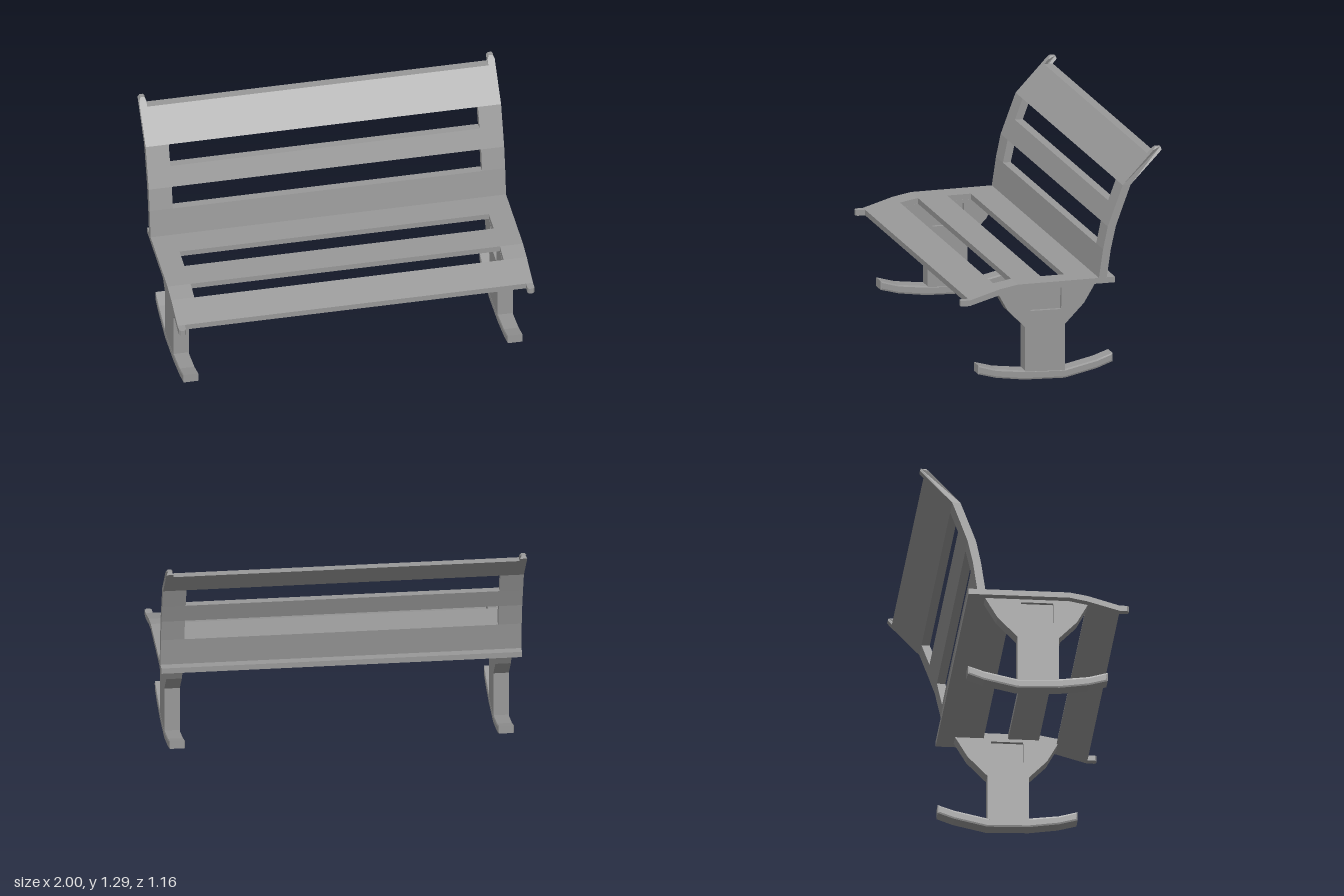
import * as THREE from 'three';

const material = new THREE.MeshStandardMaterial({ color: 0x999999, flatShading: true });

// Extrudes a side outline of [z, y] points across x0..x1, with an optional shallow bevel
function sideExtrude(name, points, x0, x1, { hole, bevel = 0 } = {}) {
  const toVectors = (list) => list.map(([z, y]) => new THREE.Vector2(z, y));
  const shape = new THREE.Shape(toVectors(points));
  if (hole) shape.holes.push(new THREE.Path(toVectors(hole)));
  const geometry = new THREE.ExtrudeGeometry(shape, {
    depth: x1 - x0 - 2 * bevel,
    bevelEnabled: bevel > 0,
    bevelSize: 3 * bevel,
    bevelThickness: bevel,
    bevelOffset: -3 * bevel,
    bevelSegments: 1,
  });
  geometry.rotateY(-Math.PI / 2);
  geometry.translate(x1 - bevel, 0, 0);
  const mesh = new THREE.Mesh(geometry, material);
  mesh.name = name;
  return mesh;
}

// Narrows the end of an edge strip at the given [z, y] points
function narrowTip(mesh, tipPoints, centreX) {
  const position = mesh.geometry.attributes.position;
  for (let i = 0; i < position.count; i++) {
    const atTip = tipPoints.some(([z, y]) => Math.hypot(position.getZ(i) - z, position.getY(i) - y) < 1e-4);
    if (atTip) position.setX(i, centreX + (position.getX(i) - centreX) * 0.55);
  }
  mesh.geometry.computeVertexNormals();
}

// Slatted panel: stations are pairs of [z, y] points, one on each face.
// Slats and stiles run between station indices; the outer edges continue into the tips.
function slattedPanel(name, stations, slats) {
  const group = new THREE.Group();
  group.name = name;
  const section = (a, b) => {
    const part = stations.slice(a, b + 1);
    return [...part.map((s) => s[0]), ...part.map((s) => s[1]).reverse()];
  };
  const last = stations.length - 1;
  for (const [a, b] of slats) group.add(sideExtrude('slat', section(a, b), -0.87, 0.87));
  for (const side of [-1, 1]) {
    const span = (p, q) => (side > 0 ? [p, q] : [-q, -p]);
    group.add(sideExtrude('stile', section(0, last - 2), ...span(0.87, 0.96)));
    const edge = sideExtrude('edgeWithTip', section(0, last), ...span(0.96, 1));
    narrowTip(edge, stations[last], side * 0.98);
    group.add(edge);
  }
  return group;
}

export function createModel() {
  const model = new THREE.Group();
  model.name = 'rockingBench';

  // Seat: top and bottom points from back to front
  const seat = [
    [[-0.31, 0.568], [-0.31, 0.536]],
    [[-0.056, 0.568], [-0.056, 0.536]],
    [[0.08, 0.568], [0.08, 0.536]],
    [[0.25, 0.568], [0.25, 0.536]],
    [[0.353, 0.55], [0.348, 0.518]],
    [[0.527, 0.5], [0.527, 0.468]],
    [[0.568, 0.5], [0.568, 0.468]],
    [[0.579, 0.5], [0.579, 0.468]],
  ];
  model.add(slattedPanel('seat', seat, [[0, 1], [2, 3], [4, 5]]));

  // Backrest: front and rear points from bottom to top
  const back = [
    [[-0.217, 0.568], [-0.262, 0.568]],
    [[-0.241, 0.73], [-0.286, 0.73]],
    [[-0.268, 0.858], [-0.315, 0.858]],
    [[-0.31, 0.97], [-0.356, 0.97]],
    [[-0.354, 1.087], [-0.4, 1.087]],
    [[-0.507, 1.248], [-0.556, 1.248]],
    [[-0.53, 1.273], [-0.579, 1.273]],
    [[-0.544, 1.29], [-0.574, 1.29]],
  ];
  model.add(slattedPanel('backrest', back, [[0, 1], [2, 3], [4, 5]]));

  // Leg outline with a recessed square on both faces
  const legOutline = [
    [0.355, 0.518], [0.295, 0.41], [0.195, 0.308], [0.195, 0.045], [-0.035, 0.045],
    [-0.035, 0.308], [-0.145, 0.42], [-0.215, 0.537], [0.25, 0.537],
  ];
  const recess = [[-0.016, 0.518], [-0.013, 0.395], [0.165, 0.398], [0.163, 0.518]];

  // Curved rocker runner
  const rockerOutline = [
    [0.465, 0.11], [0.36, 0.08], [0.2, 0.06], [-0.035, 0.05], [-0.22, 0.09], [-0.31, 0.12],
    [-0.31, 0.072], [-0.22, 0.04], [-0.035, 0], [0.2, 0.008], [0.36, 0.031], [0.465, 0.06],
  ];

  for (const side of [-1, 1]) {
    const support = new THREE.Group();
    support.name = side > 0 ? 'leftSupport' : 'rightSupport';
    const centre = side * 0.912;
    support.add(sideExtrude('leg', legOutline, centre - 0.043, centre + 0.043, { hole: recess }));
    support.add(sideExtrude('recessPanel', recess, centre - 0.02, centre + 0.02));
    support.add(sideExtrude('rocker', rockerOutline, centre - 0.044, centre + 0.044, { bevel: 0.003 }));
    model.add(support);
  }
  return model;
}
